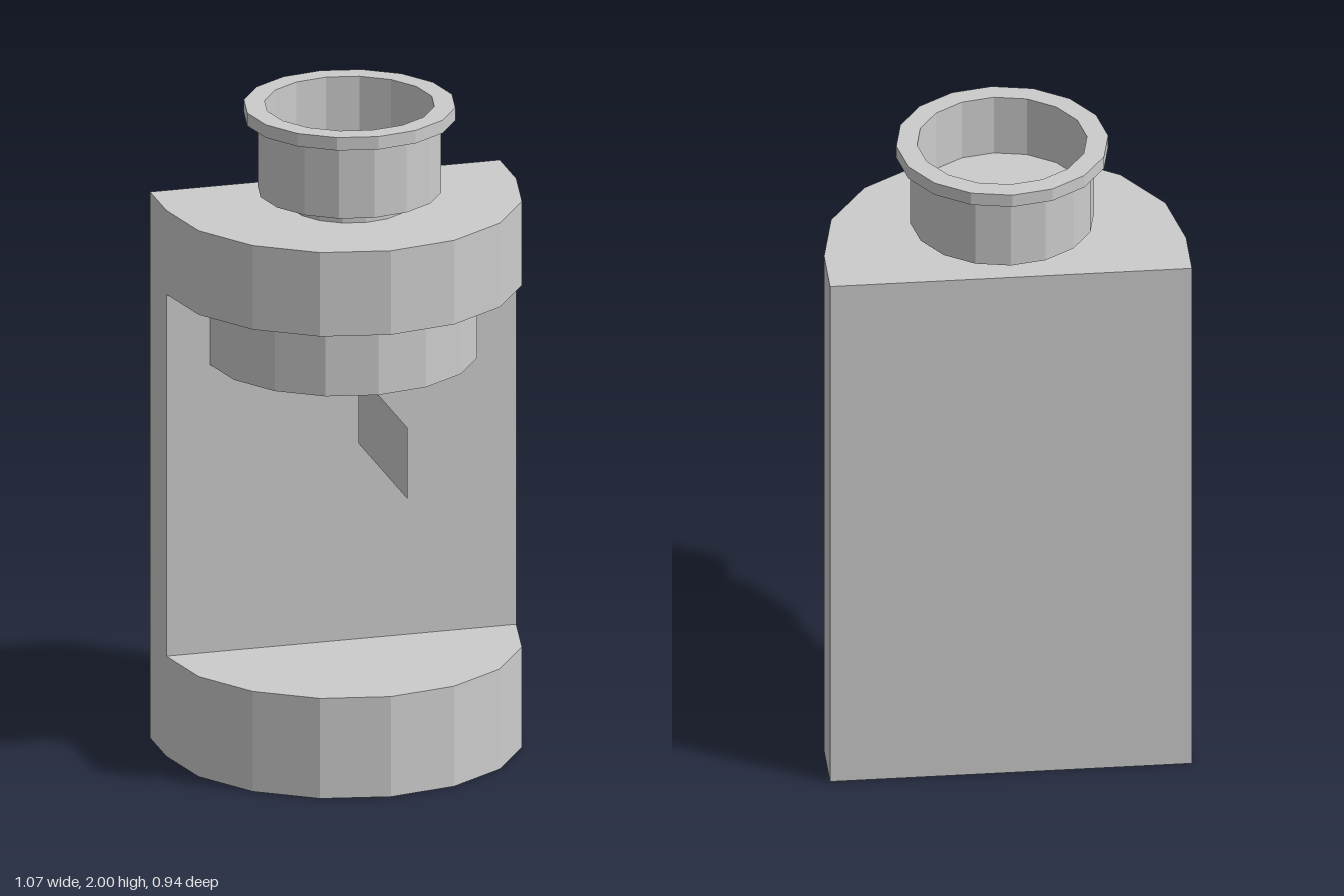
import * as THREE from 'three';

const AXIS_Z = -0.245; // centre line of the rounded fronts
const BACK_Z = -0.42;

export function createModel() {
  const group = new THREE.Group();
  const grey = new THREE.MeshStandardMaterial({ color: 0xcccccc });
  grey.name = 'grey';
  const greySheet = new THREE.MeshStandardMaterial({ color: 0xcccccc, side: THREE.DoubleSide });
  greySheet.name = 'greySheet';

  const add = (name, geometry, material = grey) => {
    const mesh = new THREE.Mesh(geometry, material);
    mesh.name = name;
    group.add(mesh);
    return mesh;
  };

  // Block with a faceted half-round front and a flat back
  const roundFront = (name, radius, backZ, y0, y1) => {
    const points = [];
    for (let i = 0; i <= 8; i++) {
      const a = (i / 8) * Math.PI;
      points.push(new THREE.Vector2(radius * Math.cos(a), -AXIS_Z - radius * Math.sin(a)));
    }
    if (backZ < AXIS_Z) {
      points.push(new THREE.Vector2(-radius, -backZ), new THREE.Vector2(radius, -backZ));
    }
    const geometry = new THREE.ExtrudeGeometry(new THREE.Shape(points), {
      depth: y1 - y0, bevelEnabled: false,
    });
    geometry.rotateX(-Math.PI / 2).translate(0, y0, 0);
    add(name, geometry);
  };

  // Body: base, head, and the wall that joins them
  roundFront('base', 0.533, BACK_Z, 0, 0.31);
  roundFront('head', 0.533, BACK_Z, 1.43, 1.69);
  add('backWall', new THREE.BoxGeometry(1.066, 1.12, AXIS_Z - BACK_Z))
    .position.set(0, 0.87, (AXIS_Z + BACK_Z) / 2);

  // Brewing holder under the head
  roundFront('filterHolder', 0.4, AXIS_Z, 1.2, 1.43);

  // Flat upright handle below the holder
  add('handle', new THREE.PlaneGeometry(0.53, 0.22).rotateY(Math.PI / 2), greySheet)
    .position.set(0, 1.09, 0.203);

  // Open hopper: neck, cup, rim, inner wall and floor
  const profile = [
    [0, 1.69], [0.177, 1.69], [0.177, 1.735], [0.27, 1.735], [0.27, 1.96],
    [0.312, 1.96], [0.312, 2], [0.25, 2], [0.25, 1.81], [0, 1.81],
  ].map(([r, y]) => new THREE.Vector2(r, y));
  const hopper = new THREE.LatheGeometry(profile, 16).toNonIndexed();
  hopper.computeVertexNormals();
  add('hopper', hopper).position.z = -0.157;

  return group;
}
